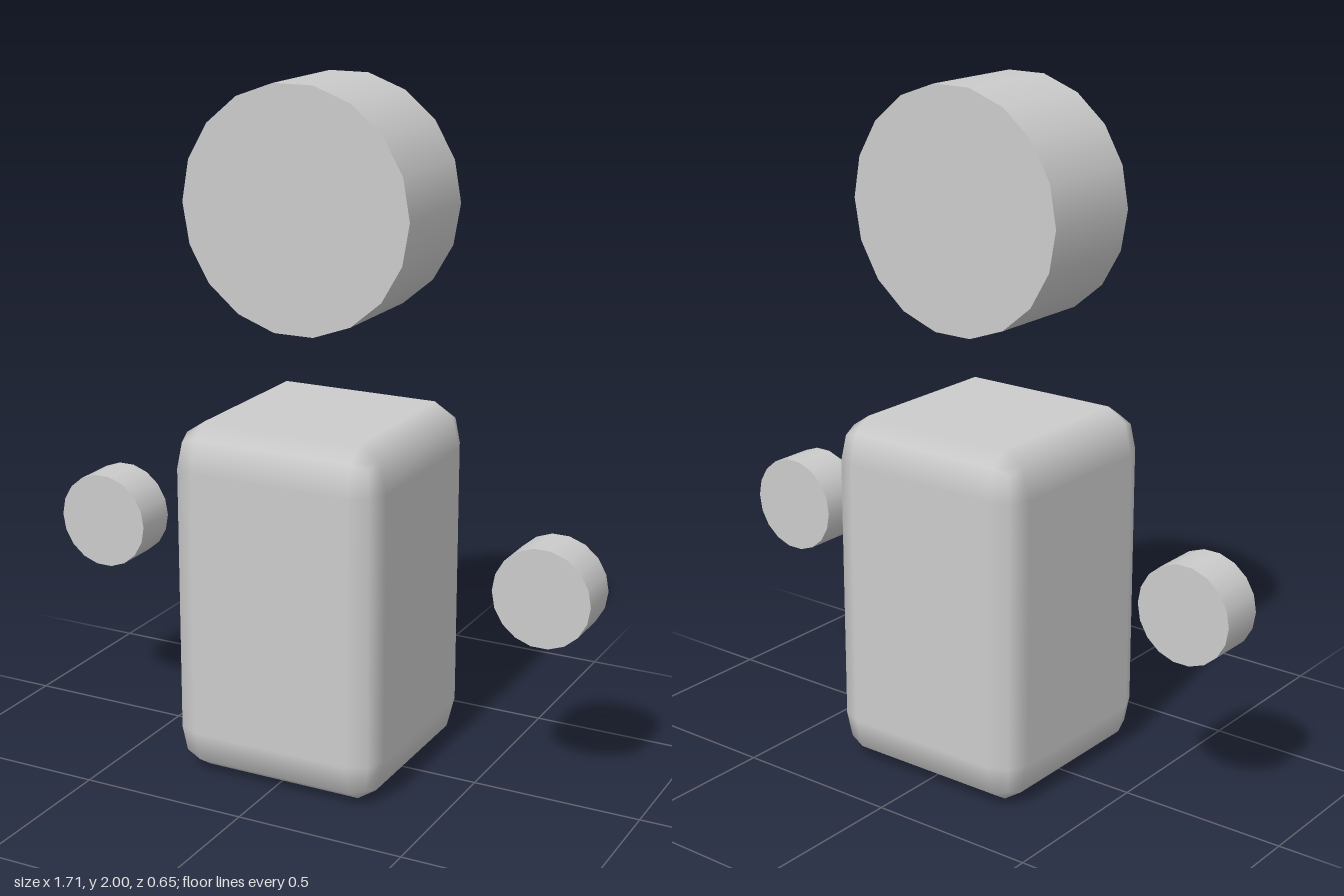
import * as THREE from 'three';
import { RoundedBoxGeometry } from 'three/addons/geometries/RoundedBoxGeometry.js';

const material = new THREE.MeshStandardMaterial({ color: 0xcccccc });

// Upright 18-sided disc facing front, with corners on its left and right ends
function disc(name, radius, depth, x, y) {
  const geometry = new THREE.CylinderGeometry(radius, radius, depth, 18)
    .rotateY(Math.PI / 2)
    .rotateX(Math.PI / 2);
  const mesh = new THREE.Mesh(geometry, material);
  mesh.name = name;
  mesh.position.set(x, y, 0);
  return mesh;
}

export function createModel() {
  const group = new THREE.Group();
  group.name = 'floatingFigure';

  // Body: softly bevelled cube stretched upwards
  const width = 0.65, height = 1.053;
  const bodyGeometry = new RoundedBoxGeometry(width, width, width, 1, 0.081);
  bodyGeometry.scale(1, height / width, 1);
  const body = new THREE.Mesh(bodyGeometry, material);
  body.name = 'body';
  body.position.y = height / 2;
  group.add(body);

  // Head floating above the body
  group.add(disc('head', 0.349, 0.334, 0, 1.656));

  // Hands floating at either side
  for (const [name, side] of [['leftHand', 1], ['rightHand', -1]]) {
    group.add(disc(name, 0.145, 0.14, side * 0.712, 0.63));
  }

  return group;
}
